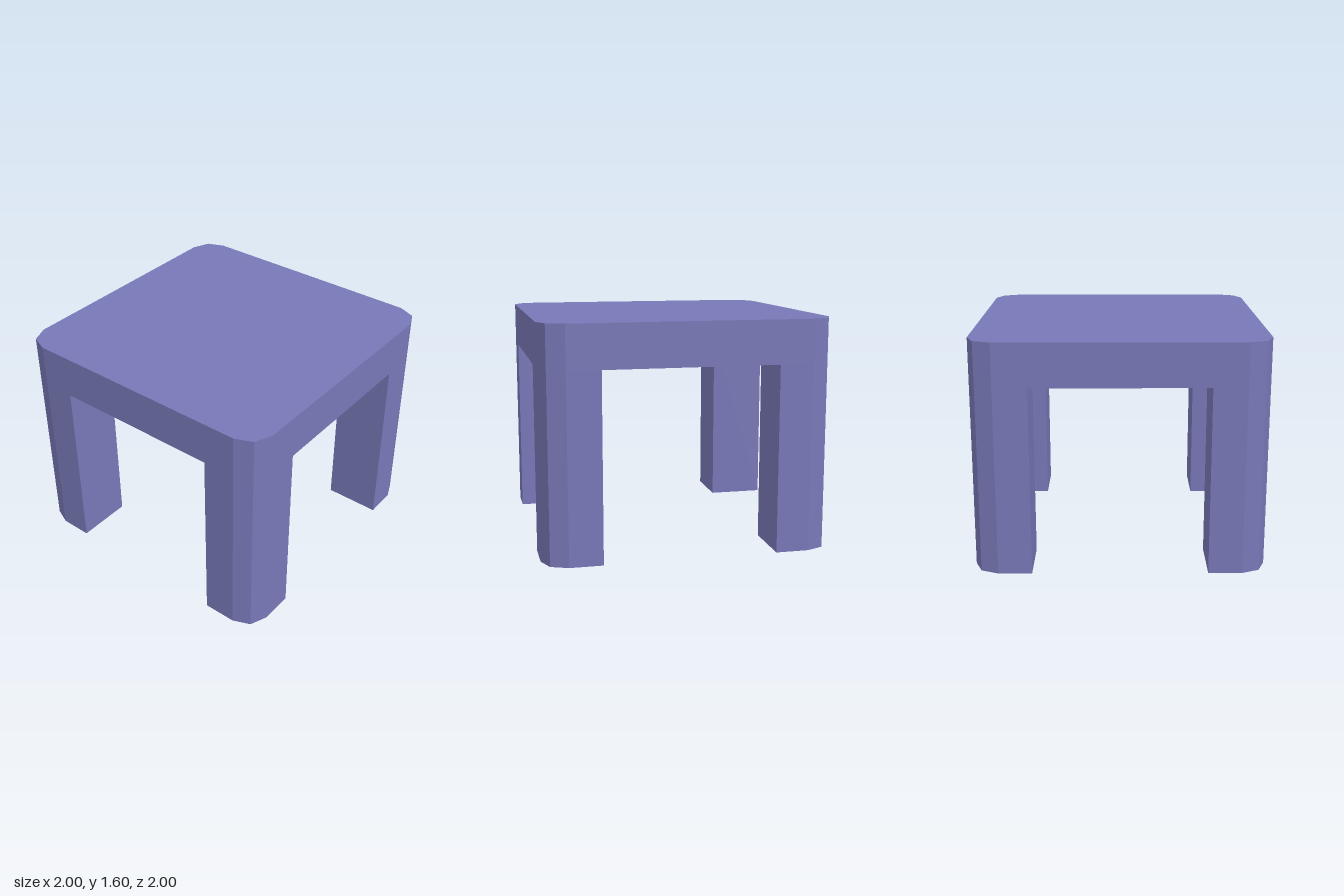
import * as THREE from 'three';

const LEG_HEIGHT = 1.3;
const TOP_THICKNESS = 0.3;
const LEG_INNER = 0.6;

// Two-step rounded corner in the +x +y quadrant, counter-clockwise
const CORNER = [[1, 0.83], [0.95, 0.95], [0.83, 1]].map(([x, y]) => new THREE.Vector2(x, y));

// Extrude a plan outline upwards from the given height
function slab(points, height, y) {
  const geometry = new THREE.ExtrudeGeometry(new THREE.Shape(points), { depth: height, bevelEnabled: false });
  return geometry.rotateX(-Math.PI / 2).translate(0, y, 0);
}

export function createModel() {
  const group = new THREE.Group();
  group.name = 'table';
  const material = new THREE.MeshStandardMaterial({ color: 0x7878b8, flatShading: true });

  // Table top: the corner repeated around the square
  const outline = [];
  for (let i = 0; i < 4; i++) {
    for (const p of CORNER) outline.push(p.clone().rotateAround(new THREE.Vector2(), i * Math.PI / 2));
  }
  const top = new THREE.Mesh(slab(outline, TOP_THICKNESS, LEG_HEIGHT), material);
  top.name = 'tableTop';
  group.add(top);

  // Legs: square posts whose outer corner follows the top
  const legOutline = [
    new THREE.Vector2(LEG_INNER, LEG_INNER),
    new THREE.Vector2(1, LEG_INNER),
    ...CORNER,
    new THREE.Vector2(LEG_INNER, 1),
  ];
  const legGeometry = slab(legOutline, LEG_HEIGHT, 0);
  ['backLeftLeg', 'backRightLeg', 'frontRightLeg', 'frontLeftLeg'].forEach((name, i) => {
    const leg = new THREE.Mesh(legGeometry, material);
    leg.name = name;
    leg.rotation.y = i * Math.PI / 2;
    group.add(leg);
  });

  return group;
}
